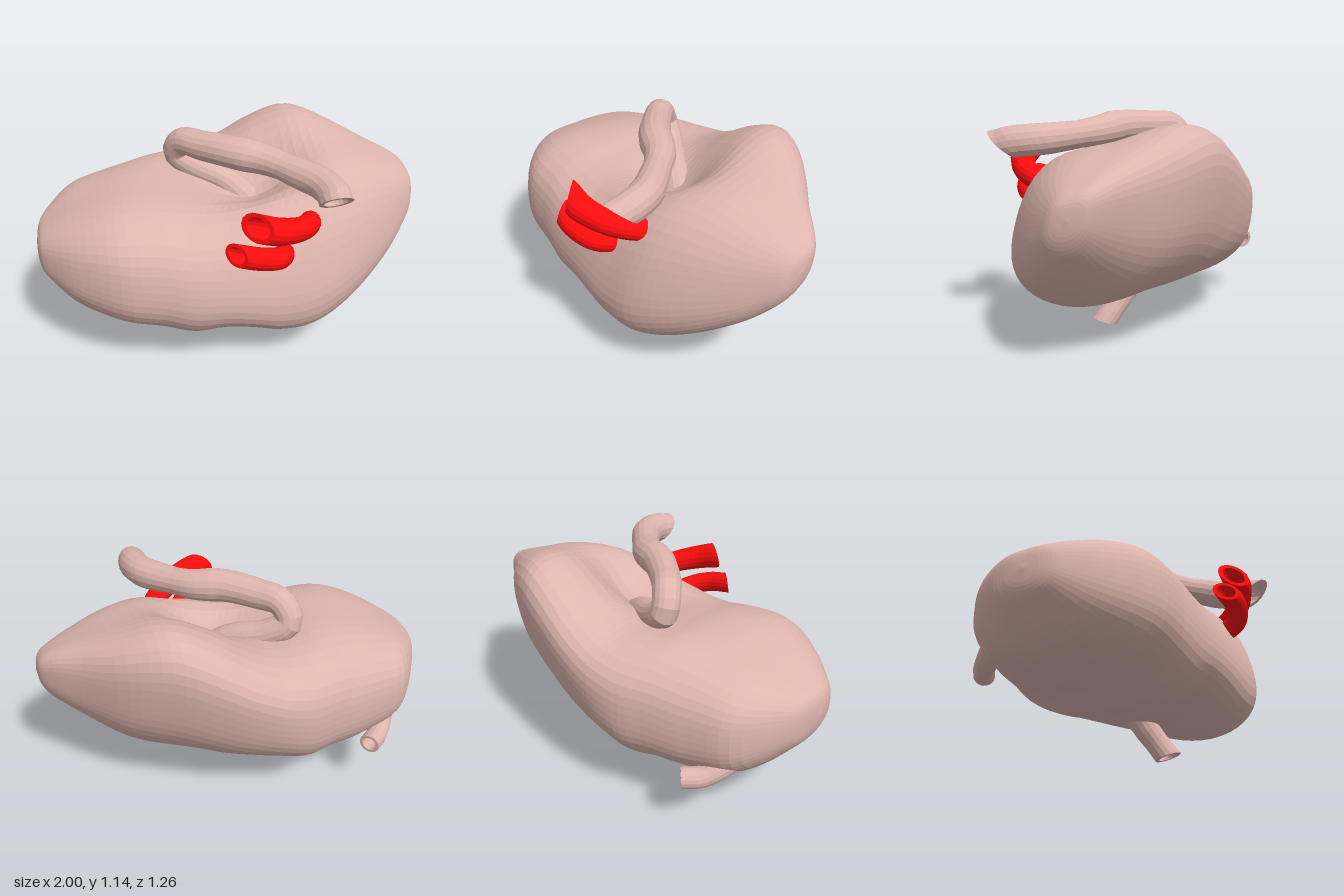
import * as THREE from 'three';

const V = (p) => new THREE.Vector3(...p);
const SIDES = 16;

// Skin a list of closed rings, each an array of Vector3
function skin(rings) {
  const n = rings[0].length, pos = [], idx = [];
  rings.forEach((r) => r.forEach((p) => pos.push(p.x, p.y, p.z)));
  for (let i = 0; i < rings.length - 1; i++) {
    for (let j = 0; j < n; j++) {
      const a = i * n + j, b = i * n + (j + 1) % n;
      idx.push(a, b, a + n, b, b + n, a + n);
    }
  }
  const g = new THREE.BufferGeometry();
  g.setAttribute('position', new THREE.Float32BufferAttribute(pos, 3));
  g.setIndex(idx);
  g.computeVertexNormals();
  return g;
}

// Hollow vessel along a path; its last point is the open, slanted end
function vessel(name, points, radii, slant, material, steps = 28) {
  const curve = new THREE.CatmullRomCurve3(points.map(V));
  const { tangents, normals, binormals } = curve.computeFrenetFrames(steps);
  const cut = V(slant);
  const ring = (i, thickness) => {
    const f = (i / steps) * (radii.length - 1);
    const k = Math.min(Math.floor(f), radii.length - 2);
    const r = THREE.MathUtils.lerp(radii[k], radii[k + 1], f - k) * thickness;
    const c = curve.getPointAt(i / steps);
    const fade = THREE.MathUtils.smoothstep(i / steps, 0.7, 1);
    return Array.from({ length: SIDES }, (_, j) => {
      const a = (j / SIDES) * Math.PI * 2;
      const off = normals[i].clone().multiplyScalar(r * Math.cos(a))
        .addScaledVector(binormals[i], r * Math.sin(a));
      return c.clone().add(off).addScaledVector(tangents[i], off.dot(cut) * fade);
    });
  };
  const rings = [];
  for (let i = 0; i <= steps; i++) rings.push(ring(i, 1));
  for (let i = steps; i >= steps * 0.4; i--) rings.push(ring(i, 0.72));
  const mesh = new THREE.Mesh(skin(rings), material);
  mesh.name = name;
  return mesh;
}

// Bean-shaped organ lofted along x, with a hollow on top
function organBody(material) {
  // x, top y, bottom y, back z, front z
  const sections = [
    [-1, 0.6, 0.6, -0.01, -0.01],
    [-0.985, 0.69, 0.51, -0.13, 0.1],
    [-0.94, 0.74, 0.44, -0.25, 0.18],
    [-0.8, 0.82, 0.31, -0.45, 0.33],
    [-0.6, 0.88, 0.235, -0.52, 0.46],
    [-0.4, 0.9, 0.2, -0.57, 0.49],
    [-0.25, 0.89, 0.165, -0.615, 0.51],
    [-0.1, 0.9, 0.19, -0.625, 0.52],
    [0.05, 0.96, 0.19, -0.61, 0.53],
    [0.2, 1.04, 0.175, -0.58, 0.53],
    [0.4, 1.1, 0.2, -0.52, 0.51],
    [0.6, 1.06, 0.29, -0.41, 0.42],
    [0.8, 0.97, 0.44, -0.24, 0.28],
    [0.93, 0.91, 0.58, -0.14, 0.16],
    [0.985, 0.86, 0.68, -0.08, 0.09],
    [1, 0.78, 0.78, 0, 0],
  ];
  const spline = (pick) => new THREE.CatmullRomCurve3(sections.map((s) => V(pick(s))), false, 'catmullrom');
  const ys = spline((s) => [s[0], s[1], s[2]]);
  const zs = spline((s) => [s[0], s[3], s[4]]);
  const rows = 64, cols = 52, rings = [];
  for (let i = 0; i <= rows; i++) {
    const h = ys.getPoint(i / rows), d = zs.getPoint(i / rows), x = h.x;
    const yc = (h.y + h.z) / 2, b = (h.y - h.z) / 2;
    const zc = (d.y + d.z) / 2, a = (d.z - d.y) / 2;
    // the left half leans backwards, the right half stands upright
    const lean = 0.02 + 0.38 * THREE.MathUtils.smoothstep(x, -0.6, 0.4);
    rings.push(Array.from({ length: cols }, (_, j) => {
      const t = (j / cols) * Math.PI * 2;
      const up = Math.cos(t + lean);
      // fuller shoulders than a plain ellipse, mostly on the upper side
      const full = 1 + (0.08 + 0.06 * up) * Math.sin(2 * t + lean) ** 2;
      const z = zc + a * full * Math.sin(t);
      let y = yc + b * full * up;
      // hollow where the vessels enter
      y -= 0.19 * THREE.MathUtils.smoothstep(up, 0, 0.7)
        * Math.exp(-(((x - 0.17) / 0.22) ** 2) - (((z - 0.02) / 0.19) ** 2));
      // gentle surface swell
      y += 0.02 * b * Math.sin(9 * x + 5 * z);
      return new THREE.Vector3(x, y, z);
    }));
  }
  const mesh = new THREE.Mesh(skin(rings), material);
  mesh.name = 'organBody';
  return mesh;
}

export function createModel() {
  const group = new THREE.Group();
  group.name = 'organ';
  const mat = (color) => new THREE.MeshStandardMaterial({ color, flatShading: true, side: THREE.DoubleSide });
  const flesh = mat(0xddb5ad), red = mat(0xff0d0d);

  group.add(organBody(flesh));

  // Long duct rising from the hollow and arching to the front
  group.add(vessel('mainDuct', [
    [0.14, 0.72, -0.02], [0.02, 0.84, -0.08], [-0.14, 0.9, -0.18], [-0.235, 0.97, -0.22],
    [-0.21, 1.055, -0.17], [-0.12, 1.065, -0.07], [0.02, 1.07, 0.05], [0.16, 1.055, 0.13],
    [0.28, 1.04, 0.26], [0.37, 1.03, 0.38], [0.4, 1.02, 0.48], [0.4, 1.005, 0.545],
  ], [0.09, 0.07, 0.07, 0.07, 0.078, 0.086, 0.07, 0.08, 0.08], [0, 0.75, 0], flesh, 48));

  // Two red vessels curling out over the front
  group.add(vessel('upperRedVessel', [
    [0.2, 0.72, 0.12], [0.31, 0.78, 0.24], [0.335, 0.815, 0.37], [0.25, 0.85, 0.49],
    [0.13, 0.89, 0.555], [0.025, 0.925, 0.57],
  ], [0.05, 0.053, 0.06, 0.07], [0, 0, -0.8], red));
  group.add(vessel('lowerRedVessel', [
    [0.15, 0.66, 0.3], [0.19, 0.695, 0.43], [0.15, 0.72, 0.52],
    [0.05, 0.755, 0.565], [-0.07, 0.785, 0.56],
  ], [0.05, 0.052, 0.055, 0.055], [0, 0, -0.8], red));

  // Short stubs underneath and at the back
  group.add(vessel('bottomStub', [
    [0.03, 0.28, -0.02], [0.07, 0.18, 0.02], [0.115, 0.1, 0.065], [0.145, 0.035, 0.105],
  ], [0.085, 0.068, 0.062, 0.065], [0.2, 0.1, 0.3], flesh, 14));
  group.add(vessel('backStub', [
    [-0.76, 0.47, -0.27], [-0.72, 0.4, -0.38], [-0.665, 0.355, -0.47], [-0.59, 0.35, -0.535],
  ], [0.09, 0.065, 0.053, 0.053], [0, 0, 0], flesh, 14));

  return group;
}
